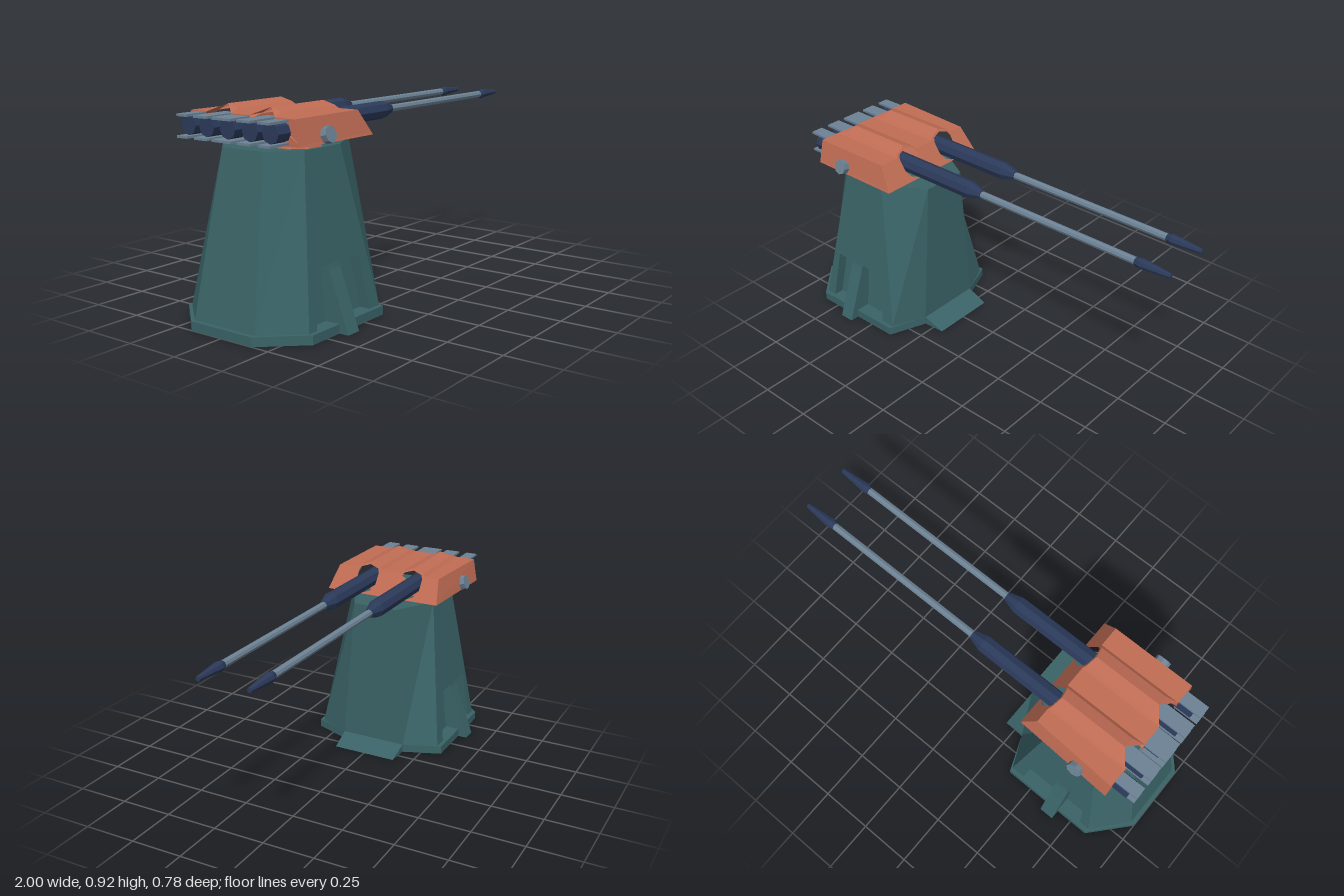
import * as THREE from 'three';

const mat = (name, color, side = THREE.FrontSide) => {
  const m = new THREE.MeshStandardMaterial({ color, flatShading: true, side });
  m.name = name;
  return m;
};

// Non-indexed geometry from four-cornered faces
function quads(list) {
  const pos = [];
  for (const [a, b, c, d] of list) pos.push(...a, ...b, ...c, ...a, ...c, ...d);
  const g = new THREE.BufferGeometry();
  g.setAttribute('position', new THREE.Float32BufferAttribute(pos, 3));
  g.computeVertexNormals();
  return g;
}

// Extrudes a [z, y] outline along x
function extrudeX(outline, x0, x1, holes = []) {
  const toPts = (pts) => pts.map(([z, y]) => new THREE.Vector2(-z, y));
  const shape = new THREE.Shape(toPts(outline));
  for (const h of holes) shape.holes.push(new THREE.Path(toPts(h)));
  const g = new THREE.ExtrudeGeometry(shape, { depth: x1 - x0, bevelEnabled: false });
  return g.rotateY(Math.PI / 2).translate(x0, 0, 0);
}

// Eight-sided rod along x from [x, radius] pairs
function rod(profile, y, z) {
  const g = new THREE.LatheGeometry(profile.map(([x, r]) => new THREE.Vector2(r, x)), 8);
  return g.rotateZ(-Math.PI / 2).translate(0, y, z);
}

// Eight-cornered plan, counterclockwise from above, as [x, z]
const plan = (front, x2, x1, back, zf, zs) => [
  [front, zf], [front, -zf], [x2, -zs], [x1, -zs],
  [back, -zf], [back, zf], [x1, zs], [x2, zs],
];

export function createModel() {
  const teal = mat('tealArmor', 0x3a6367, THREE.DoubleSide);
  const orange = mat('orangeArmor', 0xc06c54);
  const navy = mat('navyMetal', 0x2b3a5a);
  const steel = mat('greySteel', 0x6c8294);

  const model = new THREE.Group();
  const add = (name, geometry, material, parent = model) => {
    const m = new THREE.Mesh(geometry, material);
    m.name = name;
    parent.add(m);
    return m;
  };

  // Base ring
  const v2 = ([x, z]) => new THREE.Vector2(x, -z);
  const ring = new THREE.Shape(plan(-0.3, -0.37, -0.84, -1, 0.165, 0.345).map(v2));
  ring.holes.push(new THREE.Path(plan(-0.33, -0.4, -0.82, -0.95, 0.15, 0.295).map(v2)));
  add('baseRing', new THREE.ExtrudeGeometry(ring, { depth: 0.04, bevelEnabled: false })
    .rotateX(-Math.PI / 2), teal);

  // Entry ramp
  add('ramp', quads([
    [[-0.3, 0.04, 0.165], [-0.195, 0, 0.16], [-0.195, 0, -0.16], [-0.3, 0.04, -0.165]],
    [[-0.3, 0, 0.165], [-0.195, 0, 0.16], [-0.195, 0, 0.16], [-0.3, 0.04, 0.165]],
    [[-0.3, 0, -0.165], [-0.3, 0.04, -0.165], [-0.195, 0, -0.16], [-0.195, 0, -0.16]],
  ]), teal);

  // Hollow tower: front, back and corner walls, and the roof
  const y0 = 0.04, y1 = 0.745;
  const low = plan(-0.3, -0.37, -0.84, -0.98, 0.165, 0.325).map(([x, z]) => [x, y0, z]);
  const top = plan(-0.3, -0.5, -0.73, -0.85, 0.11, 0.22).map(([x, z]) => [x, y1, z]);
  const walls = [];
  for (let i = 0; i < 8; i++) {
    const j = (i + 1) % 8;
    if (i !== 2 && i !== 6) walls.push([low[i], low[j], top[j], top[i]]);
  }
  walls.push([top[0], top[1], top[2], top[7]], [top[7], top[2], top[3], top[6]],
    [top[6], top[3], top[4], top[5]]);
  add('towerWalls', quads(walls), teal);

  // Side walls, each with a niche and a buttress
  const wallZ = (y) => 0.325 - 0.105 * (y - y0) / (y1 - y0);
  const niche = [[-0.79, y0], [-0.765, 0.28], [-0.47, 0.28], [-0.44, y0]];
  const panel = new THREE.ShapeGeometry(new THREE.Shape(
    [[-0.84, y0], ...niche, [-0.37, y0], [-0.5, y1], [-0.73, y1]]
      .map(([x, y]) => new THREE.Vector2(x, y))));
  const pp = panel.attributes.position;
  for (let i = 0; i < pp.count; i++) pp.setZ(i, wallZ(pp.getY(i)));
  const outer = niche.map(([x, y]) => [x, y, wallZ(y)]);
  const inner = niche.map(([x, y]) => [x, y, wallZ(y) - 0.05]);
  const nicheFaces = [[inner[3], inner[2], inner[1], inner[0]]];
  for (let i = 0; i < 4; i++) {
    const j = (i + 1) % 4;
    nicheFaces.push([outer[i], inner[i], inner[j], outer[j]]);
  }
  const nicheGeo = quads(nicheFaces);
  const buttress = extrudeX([[0.25, 0.28], [0.289, 0.28], [0.294, 0.26], [0.39, 0],
    [0.3, 0], [0.265, 0.06]], -0.672, -0.6);
  for (const [side, s] of [['left', 1], ['right', -1]]) {
    const g = new THREE.Group();
    g.name = side + 'TowerSide';
    g.scale.z = s;
    add('sideWall', panel, teal, g);
    add('niche', nicheGeo, teal, g);
    add('buttress', buttress, teal, g);
    model.add(g);
  }

  // Turret housing with two arched barrel tunnels
  const gunZ = [0.1, -0.132], axisY = 0.834;
  const arch = [[0.067, 0.883], [0.052, 0.897], [0, 0.915], [-0.052, 0.897], [-0.067, 0.883]];
  const tunnel = [[0.054, 0.872], [0.045, 0.89], [0, 0.904], [-0.045, 0.89], [-0.054, 0.872],
    [-0.052, 0.82], [-0.03, 0.793], [0, 0.781], [0.03, 0.793], [0.052, 0.82]];
  const shift = (pts, dz) => pts.map(([z, y]) => [z + dz, y]);
  const housing = extrudeX(
    [[0.293, 0.775], [0.29, 0.785], [0.265, 0.883], ...shift(arch, gunZ[0]),
      ...shift(arch, gunZ[1]), [-0.268, 0.883], [-0.29, 0.775]],
    0, 1, gunZ.map((z) => shift(tunnel, z)));
  const hp = housing.attributes.position;
  for (let i = 0; i < hp.count; i++) {
    const y = hp.getY(i), z = hp.getZ(i);
    const back = hp.getX(i) < 0.5;
    // Sloped nose, arches set forward of the tail, slight flare at the right rear
    hp.setX(i, back ? (y > 0.884 ? -0.785 : -0.84) : -0.37 - (y - 0.775) * 0.64);
    if (back && z < -0.25) hp.setZ(i, z - 0.022);
  }
  housing.computeVertexNormals();
  add('turretHousing', housing, orange);

  // Guns and their turntables
  gunZ.forEach((z, i) => {
    const gun = new THREE.Group();
    gun.name = i ? 'rightGun' : 'leftGun';
    add('turntable', new THREE.CylinderGeometry(0.1, 0.112, 0.034, 8)
      .rotateY(Math.PI / 8).translate(-0.64, 0.761, z), orange, gun);
    add('barrelSleeve', rod([[-0.85, 0], [-0.85, 0.041], [-0.04, 0.041], [0.025, 0.021],
      [0.025, 0]], axisY, z), navy, gun);
    add('barrel', rod([[0.02, 0.017], [0.85, 0.017]], axisY, z), steel, gun);
    add('muzzle', rod([[0.835, 0], [0.835, 0.017], [0.86, 0.024], [1, 0.011], [1, 0]],
      axisY, z), navy, gun);
    model.add(gun);
  });

  // Rear canisters with a clip above and below each
  for (const [z, w, x1] of [[0.205, 0.06, -0.83], [0.1, 0.07, -0.77], [-0.018, 0.1, -0.83],
    [-0.132, 0.07, -0.77], [-0.235, 0.055, -0.83]]) {
    add('rearCanister', rod([[-0.912, 0], [-0.912, 0.042], [-0.8, 0.042], [-0.8, 0]],
      axisY - 0.003, z), navy);
    for (const [y, end] of [[0.874, x1], [0.786, -0.83]]) {
      add('rearClip', new THREE.BoxGeometry(end + 0.95, 0.01, w)
        .translate((end - 0.95) / 2, y, z), steel);
    }
  }

  // Pivot knobs on the sloped turret sides
  for (const [name, s, z] of [['leftKnob', 1, 0.296], ['rightKnob', -1, -0.304]]) {
    const knob = add(name, new THREE.CylinderGeometry(0.035, 0.035, 0.034, 8), steel);
    knob.rotation.x = s * (Math.PI / 2 - 0.27);
    knob.position.set(-0.675, 0.808, z);
  }
  return model;
}
